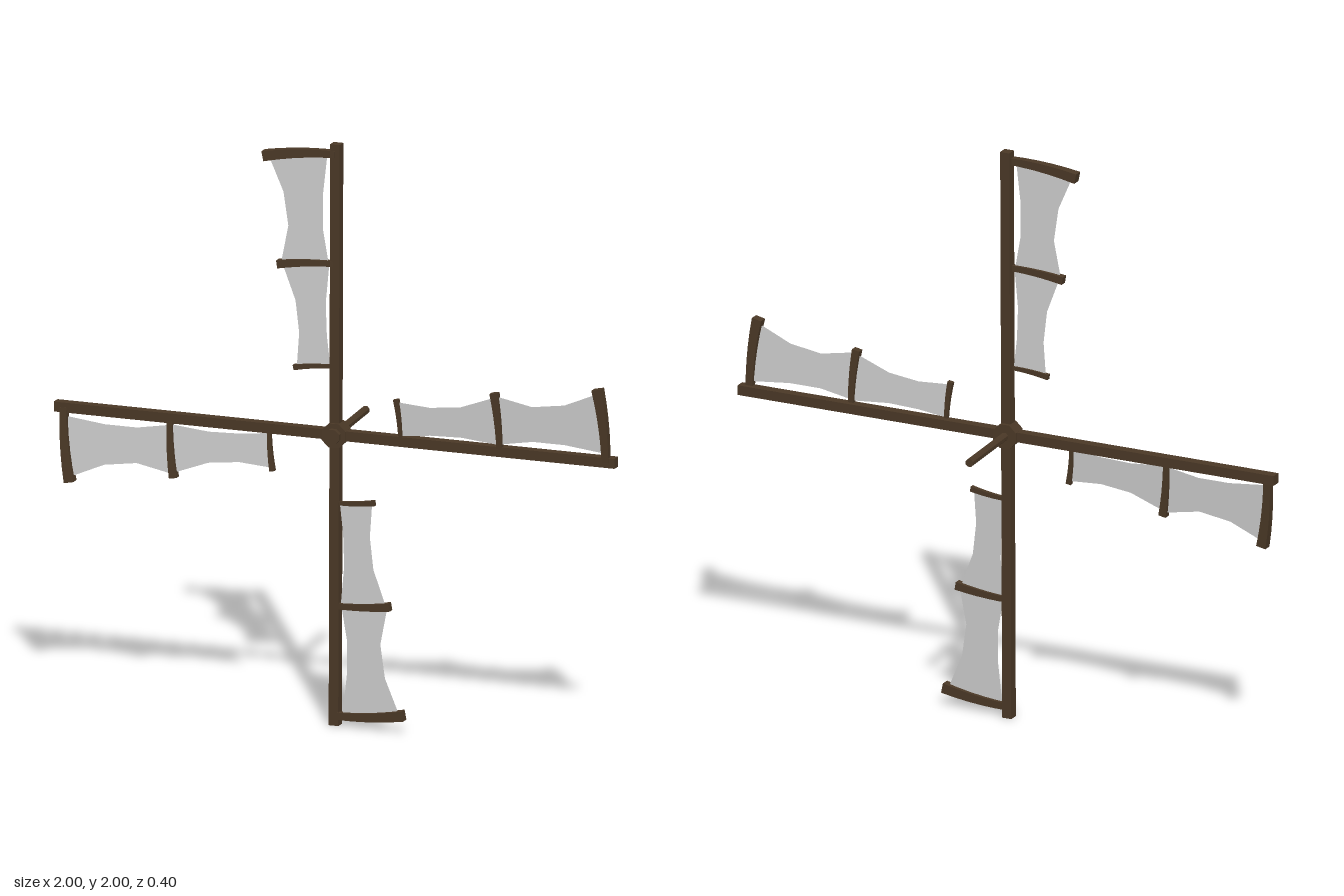
import * as THREE from 'three';

const wood = new THREE.MeshStandardMaterial({ color: 0x4a3826, flatShading: true });
const cloth = new THREE.MeshStandardMaterial({ color: 0xcccccc, side: THREE.DoubleSide, flatShading: true });

// Sideways pitch of ribs and cloth away from the spar plane
const pitch = (s) => 0.008 + s * 0.045;

function part(name, geometry, material, parent) {
  const mesh = new THREE.Mesh(geometry, material);
  mesh.name = name;
  parent.add(mesh);
  return mesh;
}

// Curved batten: leaves the spar at radius r, bends toward the hub by `bend` at its tip
function ribGeometry(r, length, bend, thick) {
  const g = new THREE.BoxGeometry(1, length, 1, 1, 5, 1);
  const p = g.attributes.position;
  for (let i = 0; i < p.count; i++) {
    const s = p.getY(i) + length / 2;
    const t = s / length;
    const w = thick * (0.7 + 0.3 * t);
    const lean = (p.getX(i) * w * 2 * bend * t) / length;
    p.setXYZ(i, r - bend * t * t + p.getX(i) * w, s + lean, pitch(s) + p.getZ(i) * w * 0.9);
  }
  g.computeVertexNormals();
  return g;
}

// Cloth panel between two ribs; rows are [radius at spar, radius at tip, inner s, outer s]
function clothGeometry(rows) {
  const g = new THREE.PlaneGeometry(1, 1, 3, rows.length - 1);
  const p = g.attributes.position;
  for (let i = 0; i < p.count; i++) {
    const [r0, r1, s0, s1] = rows[Math.floor(i / 4)];
    const t = (i % 4) / 3;
    const s = s0 + (s1 - s0) * t;
    p.setXYZ(i, r0 + (r1 - r0) * t * t, s, pitch(s));
  }
  g.computeVertexNormals();
  return g;
}

function createBlade() {
  const blade = new THREE.Group();
  const spar = part('spar', new THREE.BoxGeometry(1, 0.034, 0.034), wood, blade);
  spar.position.x = 0.5;

  part('outerRib', ribGeometry(0.966, 0.252, 0.026, 0.034), wood, blade);
  part('middleRib', ribGeometry(0.588, 0.202, 0.017, 0.027), wood, blade);
  part('innerRib', ribGeometry(0.234, 0.145, 0.014, 0.018), wood, blade);

  part('outerCloth', clothGeometry([
    [0.958, 0.94, 0.03, 0.235],
    [0.82, 0.82, 0.045, 0.183],
    [0.705, 0.705, 0.045, 0.166],
    [0.592, 0.58, 0.025, 0.19],
  ]), cloth, blade);
  part('innerCloth', clothGeometry([
    [0.584, 0.57, 0.022, 0.185],
    [0.45, 0.45, 0.034, 0.14],
    [0.34, 0.34, 0.03, 0.127],
    [0.236, 0.222, 0.018, 0.135],
  ]), cloth, blade);
  return blade;
}

export function createModel() {
  const model = new THREE.Group();
  model.name = 'windmillSails';

  // Four-bladed rotor, slightly tilted on its axle
  const rotor = new THREE.Group();
  rotor.name = 'rotor';
  rotor.position.set(0, 1, 0.118);
  rotor.rotation.set(-0.008, -0.054, 0);
  model.add(rotor);
  ['right', 'top', 'left', 'bottom'].forEach((side, k) => {
    const blade = createBlade();
    blade.name = side + 'Blade';
    blade.rotation.z = (k * Math.PI) / 2;
    rotor.add(blade);
  });

  // Axle, hub and front cap along z: [name, radius, back z, front z, sides]
  for (const [name, radius, z0, z1, sides] of [
    ['axle', 0.0145, -0.2, 0.14, 8],
    ['hub', 0.045, 0.088, 0.144, 8],
    ['hubCap', 0.027, 0.14, 0.162, 8],
  ]) {
    const g = new THREE.CylinderGeometry(radius, radius, z1 - z0, sides);
    g.rotateY(Math.PI / 8).rotateX(Math.PI / 2);
    part(name, g, wood, model).position.set(0, 1, (z0 + z1) / 2);
  }
  return model;
}
